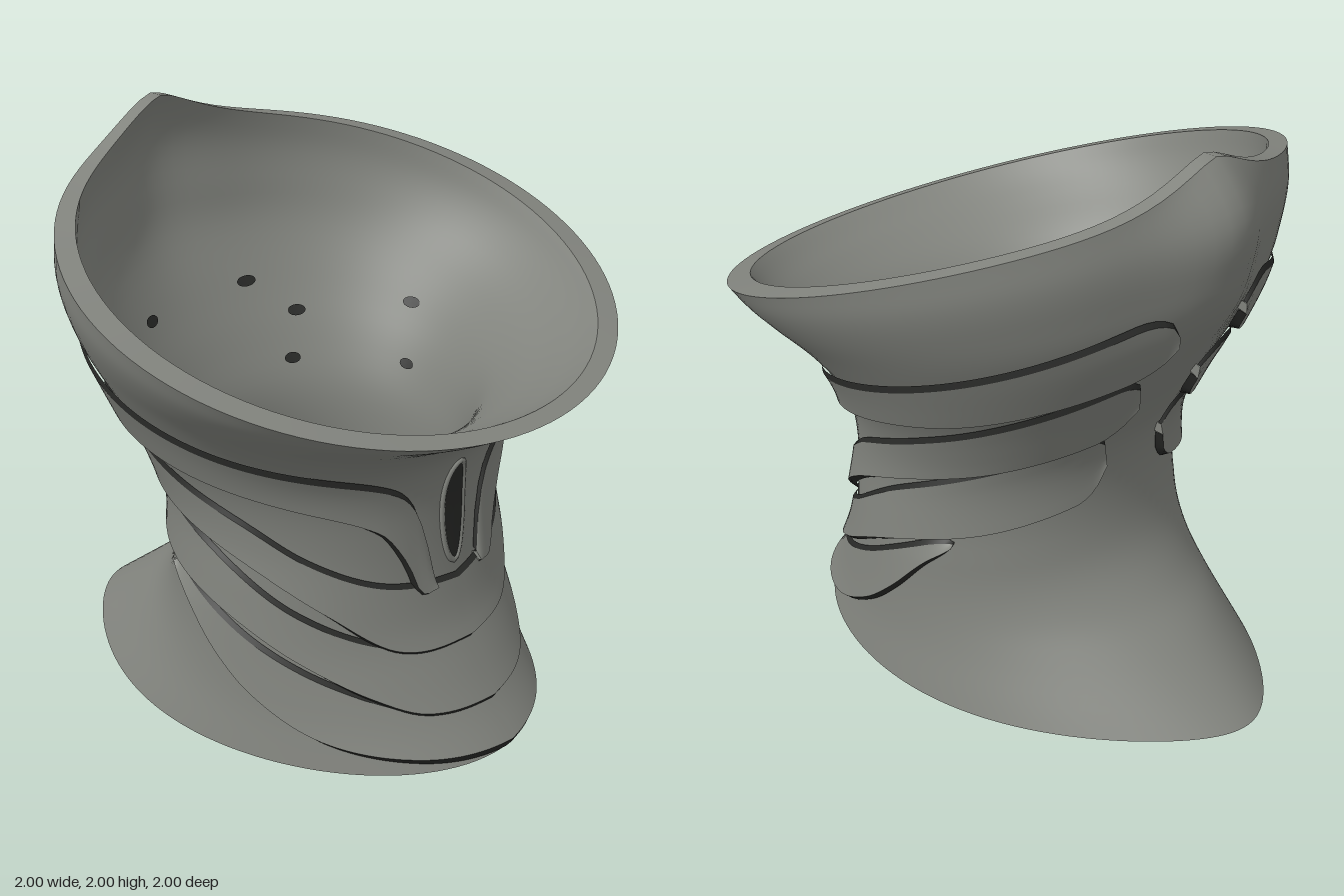
import * as THREE from 'three';

const V = (x, y, z) => new THREE.Vector3(x, y, z);
const RAD = Math.PI / 180;
const TAU = Math.PI * 2;
const { smoothstep, clamp, lerp } = THREE.MathUtils;

// Cross-sections, bottom to top: front z, front y, half width, back z, back y, back ridge
const SECTIONS = [
  [0.865, 0, 0.655, -1, 0, 0],
  [0.78, 0.14, 0.62, -0.75, 0.2, 0],
  [0.71, 0.28, 0.605, -0.58, 0.34, 0],
  [0.65, 0.42, 0.6, -0.47, 0.5, 0],
  [0.62, 0.56, 0.6, -0.43, 0.7, 0],
  [0.6, 0.75, 0.61, -0.45, 0.9, 0],
  [0.6, 0.93, 0.66, -0.54, 1.08, 0],
  [0.64, 1.06, 0.74, -0.65, 1.27, 0.01],
  [0.74, 1.16, 0.835, -0.745, 1.47, 0.045],
  [0.87, 1.235, 0.92, -0.77, 1.62, 0.08],
  [0.945, 1.27, 0.97, -0.775, 1.75, 0.095],
  [1, 1.3, 1, -0.75, 1.875, 0],
];
const curve = pts => new THREE.CatmullRomCurve3(pts, false, 'catmullrom', 0.5);
const frontCurve = curve(SECTIONS.map(s => V(s[0], s[1], s[2])));
const backCurve = curve(SECTIONS.map(s => V(s[3], s[4], s[5])));

// Point on the wall at angle a (0 = front, towards +x) and height parameter v
function wall(a, v, inner = false) {
  const f = frontCurve.getPoint(v), b = backCurve.getPoint(v);
  if (inner) {
    const t = smoothstep(v, 0, 0.3);
    const rim = smoothstep(v, 0.8, 1);
    f.x -= 0.035 + 0.055 * t - 0.03 * rim;
    f.z -= 0.035 + 0.05 * t;
    b.x += 0.05 + 0.02 * t - 0.02 * rim;
    b.z *= 0.5;
    f.y += 0.02 * rim;
  }
  const k = (1 + Math.cos(a)) / 2;
  const narrow = 0.35 * Math.max(0, 1 - v / 0.3) * (1 - k) ** 4;
  const x = f.z * Math.sin(a) * (1 - narrow);
  const ridge = k < 0.5 ? Math.exp(-((x / 0.2) ** 2)) : 0;
  const peak = k < 0.5 ? Math.exp(-(Math.abs(x / 0.23) ** 1.5)) * 0.125 * smoothstep(v, 0.8, 1) : 0;
  return V(x, b.y + (f.y - b.y) * k + peak, b.x + (f.x - b.x) * k - b.z * ridge);
}

// Point at angle a and height y, pushed out along the normal
function onWall(a, y, off, inner = false) {
  let lo = 0, hi = 1;
  for (let i = 0; i < 16; i++) {
    const m = (lo + hi) / 2;
    if (wall(a, m, inner).y < y) lo = m; else hi = m;
  }
  const p = wall(a, lo, inner);
  const da = wall(a + 0.01, lo, inner).sub(p);
  const dv = wall(a, Math.min(1, lo + 0.01), inner).sub(wall(a, Math.max(0, lo - 0.01), inner));
  return p.addScaledVector(da.cross(dv).normalize(), off);
}

// Smooth quad grid from fn(u, v), with u and v in 0..1
function grid(nu, nv, fn, closed = false) {
  const pos = [], idx = [], cols = closed ? nu : nu + 1;
  for (let j = 0; j <= nv; j++)
    for (let i = 0; i < cols; i++) pos.push(...fn(i / nu, j / nv).toArray());
  for (let j = 0; j < nv; j++)
    for (let i = 0; i < nu; i++) {
      const a = j * cols + i, b = j * cols + (i + 1) % cols;
      idx.push(a, b, b + cols, a, b + cols, a + cols);
    }
  const g = new THREE.BufferGeometry();
  g.setAttribute('position', new THREE.Float32BufferAttribute(pos, 3));
  g.setIndex(idx);
  g.computeVertexNormals();
  return g;
}

// Smooth lookup in a list of [angle, height] pairs
function edge(t, a) {
  let i = 0;
  while (i < t.length - 2 && a > t[i + 1][0]) i++;
  const slope = n => {
    const p = t[Math.max(0, n - 1)], q = t[Math.min(t.length - 1, n + 1)];
    return (q[1] - p[1]) / (q[0] - p[0]);
  };
  const [x0, y0] = t[i], [x1, y1] = t[i + 1], h = x1 - x0;
  const s = clamp((a - x0) / h, 0, 1), s2 = s * s, s3 = s2 * s;
  return (2 * s3 - 3 * s2 + 1) * y0 + (s3 - 2 * s2 + s) * h * slope(i)
    + (3 * s2 - 2 * s3) * y1 + (s3 - s2) * h * slope(i + 1);
}

// Wrapping bands: range in degrees, then lower and upper edges
const BANDS = [
  { name: 'collarBand', start: 11, end: 169,
    low: [[11, 0.59], [18, 0.6], [22, 0.72], [30, 0.86], [55, 1.0], [90, 1.12], [120, 1.19], [150, 1.28], [170, 1.35]],
    up: [[11, 0.62], [14, 0.8], [18, 0.92], [25, 1.0], [40, 1.08], [75, 1.2], [120, 1.36], [170, 1.56]] },
  { name: 'upperBand', start: 0, end: 168,
    low: [[0, 0.37], [28, 0.41], [50, 0.58], [75, 0.75], [100, 0.86], [130, 0.94], [170, 1.05]],
    up: [[0, 0.58], [30, 0.64], [55, 0.76], [75, 0.9], [100, 1.02], [120, 1.1], [170, 1.3]] },
  { name: 'middleBand', start: 0, end: 167,
    low: [[0, 0.16], [25, 0.19], [40, 0.27], [60, 0.4], [80, 0.52], [100, 0.6], [130, 0.67], [170, 0.77]],
    up: [[0, 0.37], [30, 0.42], [60, 0.56], [90, 0.75], [110, 0.84], [135, 0.93], [170, 1.03]] },
  { name: 'lowerBand', start: 0, end: 116,
    low: [[0, 0.015], [30, 0.05], [55, 0.12], [75, 0.25], [90, 0.38], [105, 0.52], [116, 0.59]],
    up: [[0, 0.16], [25, 0.19], [50, 0.3], [75, 0.43], [90, 0.51], [105, 0.58], [116, 0.62]] },
];

export function createModel() {
  const group = new THREE.Group();
  const grey = new THREE.MeshStandardMaterial({ name: 'stone grey', color: 0x82847e });
  const dark = new THREE.MeshStandardMaterial({ name: 'dark groove', color: 0x282927, side: THREE.DoubleSide });
  const add = (name, geometry, material = grey, parent = group) => {
    const m = new THREE.Mesh(geometry, material);
    m.name = name;
    parent.add(m);
  };

  // Hollow body
  add('outerWall', grid(112, 56, (u, v) => wall(u * TAU, v), true));
  add('innerWall', grid(112, 48, (u, v) => wall(u * TAU, 1 - v, true), true));
  add('topRim', grid(112, 2, (u, v) => wall(u * TAU, 1).lerp(wall(u * TAU, 1, true), v), true));
  add('bottomRim', grid(112, 1, (u, v) => wall(u * TAU, 0, v < 0.5), true));

  // Raised bands: a sloping face with dark grooves along both edges
  const LOW = 0.036, HIGH = 0.018, FOOT = 0.005, GROOVE = 0.017;
  for (const b of BANDS) {
    const band = new THREE.Group();
    band.name = b.name;
    group.add(band);
    const spans = b.start ? [[b.start, b.end], [-b.end, -b.start]] : [[-b.end, b.end]];
    for (const [from, to] of spans) {
      // s runs across the band, dy shifts outwards from its edge
      const at = (u, s, off, dy = 0) => {
        const deg = from + (to - from) * u, a = Math.abs(deg);
        const lo = edge(b.low, a), hi = edge(b.up, a);
        const r = clamp((a - b.end + 10) / 10, 0, 1);
        const round = Math.sqrt(1 - r * r * 0.98);
        return onWall(deg * RAD, (lo + hi) / 2 + ((hi - lo) * (s - 0.5) + dy) * round, off);
      };
      const n = b.start ? 80 : 150;
      add('bandFace', grid(n, 6, (u, s) => at(u, s, lerp(LOW, HIGH, s))), grey, band);
      add('lowerGroove', grid(n, 1, (u, s) => at(u, 0, lerp(FOOT, LOW, s), -GROOVE * (1 - s))), dark, band);
      add('upperGroove', grid(n, 1, (u, s) => at(u, 1, lerp(HIGH, FOOT, s), GROOVE * s)), dark, band);
      for (const end of [0, 1])
        add('bandEnd', grid(4, 1, (u, s) => {
          const across = end ? u : 1 - u;
          return at(end, across, lerp(-0.02, lerp(LOW, HIGH, across), s));
        }), grey, band);
    }
  }

  // Oval patch that follows the wall
  const oval = (a, y, ra, ry, off, inner) => grid(20, 3, (u, s) =>
    onWall(a + ra * s * Math.cos(u * TAU), y + ry * s * Math.sin(u * TAU), off, inner), true);

  // Front slot with a rounded border
  add('frontSlot', oval(0, 0.83, 0.075, 0.18, 0.006), dark);
  const border = [];
  for (let i = 0; i < 24; i++) {
    const t = i / 24 * TAU;
    border.push(onWall(0.09 * Math.cos(t), 0.83 + 0.19 * Math.sin(t), 0));
  }
  add('slotBorder', new THREE.TubeGeometry(new THREE.CatmullRomCurve3(border, true), 48, 0.012, 6, true));

  // Small vents on the inside, mirrored left and right
  for (const [deg, y] of [[158, 1.27], [142, 1.15], [148, 1.0], [97, 1.18], [97, 0.98], [68, 0.75]])
    for (const side of [1, -1])
      add('innerVent', oval(side * deg * RAD, y, 0.06, 0.018, -0.006, true), dark);

  return group;
}
